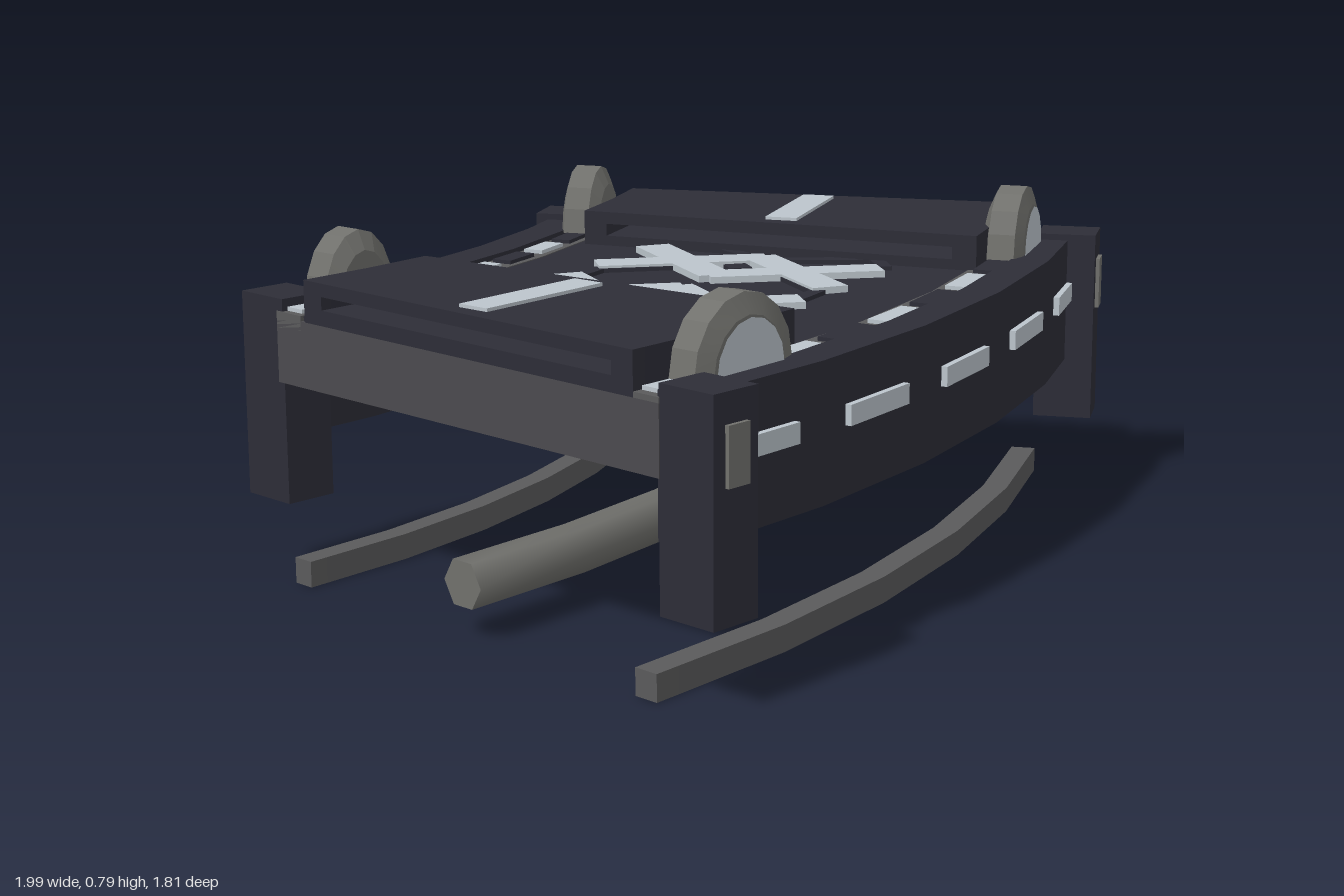
import * as THREE from 'three';
import { toCreasedNormals } from 'three/addons/utils/BufferGeometryUtils.js';

// The piece is a 30 degree bend around the pivot (CX, CZ)
const CX = -1, CZ = -3.1, SWEEP = 30;
const rad = THREE.MathUtils.degToRad;
const flat = (name, color) => {
  const m = new THREE.MeshStandardMaterial({ color });
  m.name = name;
  return m;
};

export function createModel() {
  const root = new THREE.Group();
  root.name = 'curvedTrackSection';
  const navy = flat('navy', 0x2d2d37);
  const light = flat('paleSteel', 0xbcc5cc);
  const grey = flat('grey', 0x5a5a5b);
  const deckGrey = flat('deckGrey', 0x4b4a4e);
  const stone = flat('warmGrey', 0x70706c);

  // Put an object on the bend: local x = along the bend, local z = outward
  function place(obj, deg, r, y, parent = root) {
    const a = rad(deg);
    obj.position.set(CX + r * Math.sin(a), y, CZ + r * Math.cos(a));
    obj.rotation.y = a;
    parent.add(obj);
    return obj;
  }

  function box(name, w, h, d, mat) {
    const m = new THREE.Mesh(new THREE.BoxGeometry(w, h, d), mat);
    m.name = name;
    return m;
  }

  // Sweep a convex [radius, y] profile (counterclockwise) along the bend
  function sweep(name, profile, a0, a1, mat, crease = 0.5, segs = 5) {
    const pos = [], idx = [], n = profile.length;
    for (let s = 0; s <= segs; s++) {
      const a = rad(a0 + (a1 - a0) * s / segs);
      for (const [r, y] of profile) pos.push(CX + r * Math.sin(a), y, CZ + r * Math.cos(a));
    }
    for (let s = 0; s < segs; s++) {
      for (let i = 0; i < n; i++) {
        const j = (i + 1) % n, a = s * n, b = a + n;
        idx.push(a + i, b + i, b + j, a + i, b + j, a + j);
      }
    }
    const e = segs * n;
    for (let i = 1; i < n - 1; i++) idx.push(0, i, i + 1, e, e + i + 1, e + i);
    let g = new THREE.BufferGeometry();
    g.setAttribute('position', new THREE.Float32BufferAttribute(pos, 3));
    g.setIndex(idx);
    g = toCreasedNormals(g, crease);
    const m = new THREE.Mesh(g, mat);
    m.name = name;
    root.add(m);
    return m;
  }
  const rect = (r0, r1, y0, y1) => [[r0, y0], [r1, y0], [r1, y1], [r0, y1]];

  // Deck slab with its dark top
  sweep('deckSlab', rect(2.66, 3.85, 0.46, 0.61), 0, SWEEP, deckGrey);
  sweep('deckTop', rect(2.74, 3.77, 0.605, 0.62), 0.2, SWEEP - 0.2, navy);

  // Lower runners and the central pipe
  sweep('outerRunner', rect(3.78, 3.84, 0, 0.06), 0, SWEEP, grey);
  sweep('innerRunner', rect(2.695, 2.75, 0, 0.06), 0, SWEEP, grey);
  const hex = [];
  for (let i = 0; i < 6; i++) {
    const t = i * Math.PI / 3;
    hex.push([3.265 + 0.058 * Math.cos(t), 0.12 + 0.058 * Math.sin(t)]);
  }
  sweep('centrePipe', hex, 0, SWEEP, stone, 1.2);

  // Hollow raised end panels, each with a pale stripe on top
  for (const [a0, a1] of [[0, 7.7], [22.3, SWEEP]]) {
    sweep('panelBase', rect(2.76, 3.78, 0.61, 0.645), a0, a1, navy, 0.5, 2);
    sweep('panelTop', rect(2.76, 3.78, 0.675, 0.705), a0, a1, navy, 0.5, 2);
    sweep('panelInnerWall', rect(2.76, 2.82, 0.645, 0.675), a0, a1, navy, 0.5, 2);
    sweep('panelOuterWall', rect(3.72, 3.78, 0.645, 0.675), a0, a1, navy, 0.5, 2);
    place(box('panelStripe', 0.355, 0.009, 0.08, light), (a0 + a1) / 2, 3.265, 0.708);
  }

  // Half-round lamp with a pale outward face
  function lamp(halfWidth, facing) {
    const g = new THREE.Group();
    g.name = 'lamp';
    const pts = [[0, -0.05], [0.115, -0.05], [0.16, -0.03], [0.16, 0.035], [0.115, 0.05], [0, 0.05]];
    let geo = new THREE.LatheGeometry(pts.map(p => new THREE.Vector2(...p)), 8, Math.PI / 2, Math.PI);
    geo.rotateX(Math.PI / 2);
    geo.scale(halfWidth / 0.16, 1, 1);
    geo.deleteAttribute('normal');
    geo.deleteAttribute('uv');
    geo = toCreasedNormals(geo, 0.2);
    const body = new THREE.Mesh(geo, stone);
    body.name = 'lampHousing';
    const lens = new THREE.Mesh(new THREE.CircleGeometry(0.11, 8, 0, Math.PI), light);
    lens.name = 'lampLens';
    lens.scale.x = halfWidth / 0.16;
    lens.position.z = 0.054;
    g.add(body, lens);
    const holder = new THREE.Group();
    holder.name = 'lampMount';
    if (facing < 0) g.rotation.y = Math.PI;
    holder.add(g);
    return holder;
  }

  // Both sides: beam, rail, dashes, lamps and posts
  const sides = [
    { name: 'outer', out: 1, face: 3.93, beam: [3.84, 3.93], rail: [3.765, 3.85], post: 3.92, k: 1 },
    { name: 'inner', out: -1, face: 2.57, beam: [2.57, 2.665], rail: [2.66, 2.745], post: 2.605, k: 0.68 },
  ];
  for (const s of sides) {
    sweep(s.name + 'Beam', rect(...s.beam, 0.33, 0.635), 0.1, SWEEP - 0.1, navy);
    sweep(s.name + 'Rail', rect(...s.rail, 0.58, 0.622), 0, SWEEP, grey);
    const railMid = (s.rail[0] + s.rail[1]) / 2;
    // Marker plates on the outward face of the beam
    for (let i = 0; i < 5; i++) {
      place(box(s.name + 'Marker', 0.235 * s.k, 0.045, 0.018, light), 3 + 6 * i, s.face, 0.505);
    }
    // Alternating dashes along the rail
    for (let i = 0; i < 6; i++) {
      const d = box(s.name + 'RailDash', 0.165 * s.k, 0.012, 0.05, i % 2 ? navy : light);
      place(d, 7 + 3.2 * i, railMid, 0.625);
    }
    place(box(s.name + 'RailEndDash', 0.08 * s.k, 0.012, 0.05, light), 0.95, railMid, 0.625);
    // Lamps near the two ends
    for (const deg of [3.85, SWEEP - 3.85]) place(lamp(0.155 * s.k, s.out), deg, railMid, 0.63);
    // Corner posts with a small plate
    for (const [deg, dir] of [[0, 1], [SWEEP, -1]]) {
      const g = new THREE.Group();
      g.name = s.name + 'Post';
      const leg = box('postBody', 0.125, 0.47, 0.145, navy);
      leg.position.set(dir * 0.065, 0.415, 0);
      const plate = box('postPlate', 0.06, 0.125, 0.018, stone);
      plate.position.set(dir * 0.065, 0.523, s.out * 0.073);
      g.add(leg, plate);
      place(g, deg, s.post, 0);
    }
  }

  // Woven ornament in the middle of the deck
  const ornament = new THREE.Group();
  ornament.name = 'deckOrnament';
  place(ornament, SWEEP / 2, 3.25, 0.62);
  function bar(name, u0, v0, u1, v1, width, height, mat) {
    const du = u1 - u0, dv = v1 - v0;
    const b = box(name, Math.hypot(du, dv) + width * 0.35, height, width, mat);
    b.position.set((u0 + u1) / 2, height / 2, (v0 + v1) / 2);
    b.rotation.y = -Math.atan2(dv, du);
    ornament.add(b);
  }
  for (const c of [-0.208, 0.208]) {
    for (const su of [-1, 1]) {
      for (const sv of [-1, 1]) {
        bar('paleStrand', c - su * 0.125, sv * 0.3, c + su * 0.12, 0, 0.088, 0.016, light);
      }
    }
    const gem = box('centreStud', 0.055, 0.014, 0.055, navy);
    gem.position.set(c, 0.007, 0);
    gem.rotation.y = Math.PI / 4;
    ornament.add(gem);
  }
  for (const su of [-1, 1]) {
    for (const sv of [-1, 1]) {
      bar('darkStrand', su * 0.05, sv * 0.29, su * 0.21, sv * 0.1, 0.035, 0.01, navy);
      bar('darkStrand', su * 0.35, sv * 0.03, su * 0.47, sv * 0.24, 0.035, 0.01, navy);
      bar('darkStrand', su * 0.47, sv * 0.24, su * 0.39, sv * 0.3, 0.035, 0.01, navy);
    }
    bar('darkStrand', -0.05, su * 0.29, 0.05, su * 0.29, 0.035, 0.01, navy);
  }
  return root;
}
